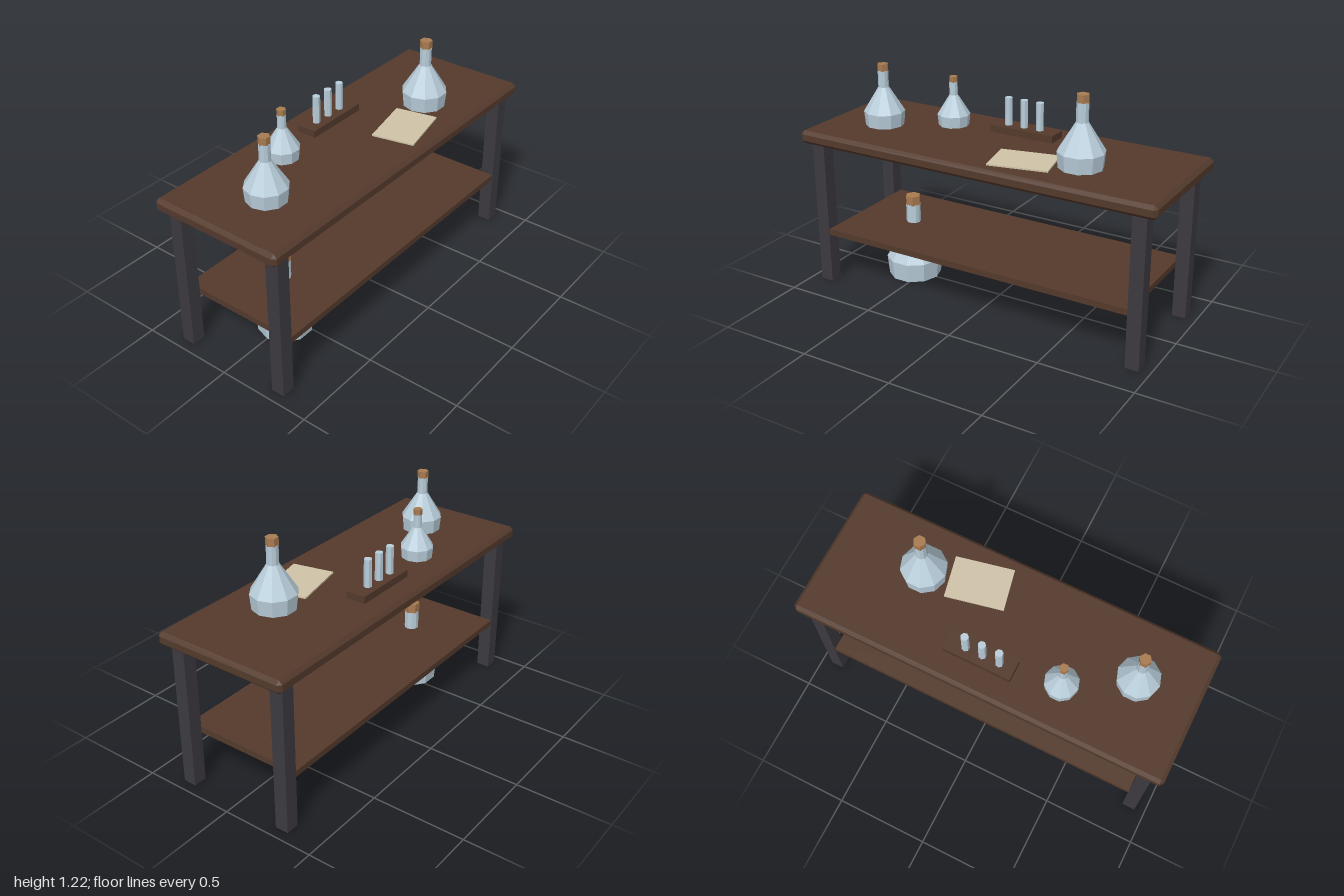
import * as THREE from 'three';
import { ConvexGeometry } from 'three/addons/geometries/ConvexGeometry.js';

const mat = (name, color) => {
  const m = new THREE.MeshStandardMaterial({ color, flatShading: true });
  m.name = name;
  return m;
};

export function createModel() {
  const wood = mat('dark wood', 0x543a2c);
  const iron = mat('dark iron', 0x3c3a40);
  const glass = mat('pale glass', 0xb9cedb);
  const cork = mat('cork', 0xa87b50);
  const paper = mat('parchment', 0xcfc3a8);

  const group = new THREE.Group();
  group.name = 'laboratoryTable';

  const add = (parent, name, geometry, material, x = 0, y = 0, z = 0) => {
    const mesh = new THREE.Mesh(geometry, material);
    mesh.name = name;
    mesh.position.set(x, y, z);
    parent.add(mesh);
    return mesh;
  };

  // Box with every edge chamfered by c
  const chamferBox = (w, h, d, c) => {
    const points = [];
    for (const sx of [-1, 1]) for (const sy of [-1, 1]) for (const sz of [-1, 1]) {
      const x = w / 2, y = h / 2, z = d / 2;
      points.push(
        new THREE.Vector3(sx * x, sy * (y - c), sz * (z - c)),
        new THREE.Vector3(sx * (x - c), sy * y, sz * (z - c)),
        new THREE.Vector3(sx * (x - c), sy * (y - c), sz * z));
    }
    return new ConvexGeometry(points);
  };

  // Table
  const top = 0.856;
  add(group, 'tableTop', chamferBox(2, 0.07, 0.727, 0.018), wood, 0, top - 0.035, 0);
  add(group, 'shelf', new THREE.BoxGeometry(1.746, 0.033, 0.654), wood, 0, 0.292, 0);
  for (const sx of [-1, 1]) for (const sz of [-1, 1]) {
    add(group, 'leg', new THREE.BoxGeometry(0.072, 0.79, 0.072), iron, sx * 0.909, 0.395, sz * 0.294);
  }

  // Corked flasks: one ten-sided profile at several sizes
  const profile = [[0, 0], [0.142, 0], [0.152, 0.104], [0.039, 0.287], [0.039, 0.41], [0, 0.41]]
    .map(([r, y]) => new THREE.Vector2(r, y));
  const bottleGeo = new THREE.LatheGeometry(profile, 10, Math.PI / 2);
  const corkGeo = new THREE.CylinderGeometry(0.041, 0.041, 0.052, 6, 1, false, Math.PI / 2);
  const flasks = [
    [-0.55, 0, 0, 1],
    [-0.684, top, 0.043, 0.714],
    [-0.366, top, -0.138, 0.571],
    [0.498, top, 0.09, 0.785],
  ];
  for (const [x, y, z, s] of flasks) {
    const flask = new THREE.Group();
    flask.name = 'flask';
    flask.position.set(x, y, z);
    flask.scale.setScalar(s);
    add(flask, 'bottle', bottleGeo, glass);
    add(flask, 'stopper', corkGeo, cork, 0, 0.434, 0);
    group.add(flask);
  }

  // Test tube rack
  const rack = new THREE.Group();
  rack.name = 'tubeRack';
  rack.position.set(0.044, top, -0.183);
  add(rack, 'rackBlock', new THREE.BoxGeometry(0.363, 0.038, 0.106), wood, 0, 0.019, 0);
  const tubeGeo = new THREE.CylinderGeometry(0.0205, 0.0205, 0.17, 7, 1, false, Math.PI / 2);
  for (const i of [-1, 0, 1]) {
    add(rack, 'testTube', tubeGeo, glass, -0.009 + i * 0.091, 0.1, 0);
  }
  group.add(rack);

  // Sheet of parchment, turned slightly
  const sheet = add(group, 'sheet', new THREE.BoxGeometry(0.306, 0.009, 0.224), paper, 0.227, top + 0.0035, 0.16);
  sheet.rotation.y = 0.21;

  return group;
}
